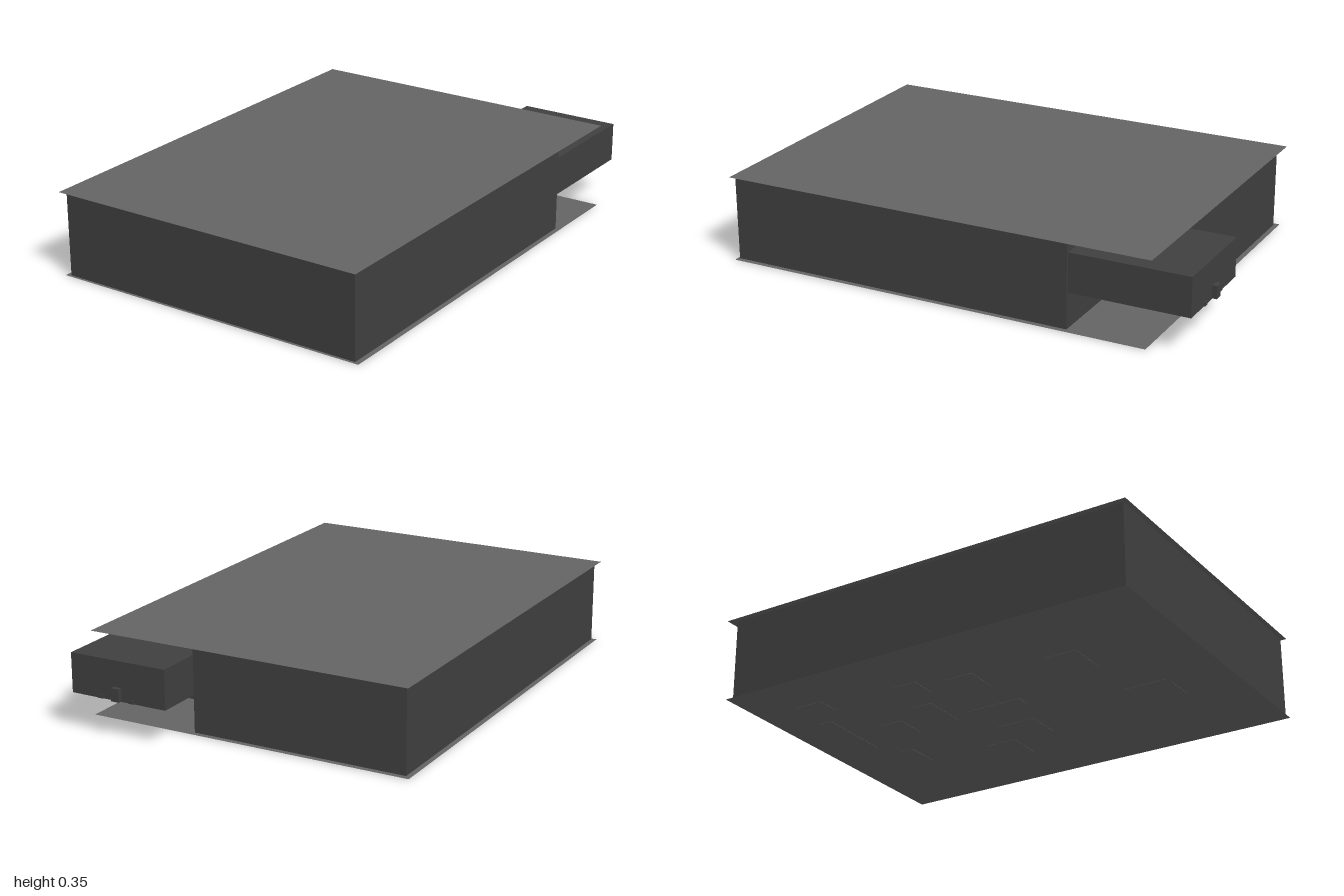
import * as THREE from 'three';

export function createModel() {
  const root = new THREE.Group();
  const plateGrey = new THREE.MeshStandardMaterial({ name: 'plateGrey', color: 0x646464, side: THREE.DoubleSide });
  const wallGrey = new THREE.MeshStandardMaterial({ name: 'wallGrey', color: 0x3f3f3f });

  const add = (name, geo, mat, parent = root) => {
    const m = new THREE.Mesh(geo, mat);
    m.name = name;
    parent.add(m);
    return m;
  };
  // box given by its limits on each axis
  const block = (name, [x0, x1], [y0, y1], [z0, z1], mat, parent) => {
    const m = add(name, new THREE.BoxGeometry(x1 - x0, y1 - y0, z1 - z0), mat, parent);
    m.position.set((x0 + x1) / 2, (y0 + y1) / 2, (z0 + z1) / 2);
    return m;
  };

  // walls: rectangle with a notched back corner and a small jog, as [x, z]
  const outline = [
    [-0.665, 0.98], [0.663, 0.98], [0.663, -0.487], [0.32, -0.487], [0.31, -0.465],
    [0.26, -0.465], [0.26, -0.487], [0.235, -0.487], [0.235, -0.795], [-0.665, -0.795],
  ].map(([x, z]) => new THREE.Vector2(x, -z));
  const wallGeo = new THREE.ExtrudeGeometry(new THREE.Shape(outline), { depth: 0.346, bevelEnabled: false });
  wallGeo.rotateX(-Math.PI / 2);
  add('walls', wallGeo, wallGrey).position.y = 0.002;

  // thin overhanging roof and floor sheets
  const sheet = (name, y, [x0, x1], [z0, z1]) => {
    const geo = new THREE.PlaneGeometry(x1 - x0, z1 - z0);
    geo.rotateX(y > 0.1 ? -Math.PI / 2 : Math.PI / 2);
    add(name, geo, plateGrey).position.set((x0 + x1) / 2, y, (z0 + z1) / 2);
  };
  sheet('roofSheet', 0.35, [-0.687, 0.677], [-0.83, 1.0]);
  sheet('floorSheet', 0.001, [-0.685, 0.683], [-0.815, 0.99]);

  // projecting box in the notch, with knob and two small studs on its back
  const unit = new THREE.Group();
  unit.name = 'projectingBox';
  root.add(unit);
  block('boxBody', [0.24, 0.66], [0.15, 0.31], [-0.98, -0.49], wallGrey, unit);
  block('knob', [0.435, 0.47], [0.153, 0.205], [-1.0, -0.98], wallGrey, unit);
  for (const x of [0.39, 0.53]) {
    block('stud', [x - 0.012, x + 0.012], [0.15, 0.165], [-0.984, -0.98], wallGrey, unit);
  }

  // faint pads on the underside: x, z, width, depth
  const pads = [
    [0.16, 0.65, 0.16, 0.2], [0.35, -0.13, 0.16, 0.13], [0.2, 0.03, 0.15, 0.17],
    [-0.24, 0.51, 0.18, 0.14], [-0.3, 0.08, 0.14, 0.12], [-0.36, -0.14, 0.12, 0.1],
    [-0.12, -0.19, 0.2, 0.08], [-0.07, -0.4, 0.14, 0.1], [-0.42, -0.57, 0.1, 0.12],
    [-0.13, -0.62, 0.32, 0.05], [0.2, -0.51, 0.14, 0.06], [-0.03, 0.05, 0.08, 0.24],
  ];
  for (const [x, z, w, d] of pads) {
    block('floorPad', [x - w / 2, x + w / 2], [0, 0.002], [z - d / 2, z + d / 2], plateGrey);
  }
  return root;
}
